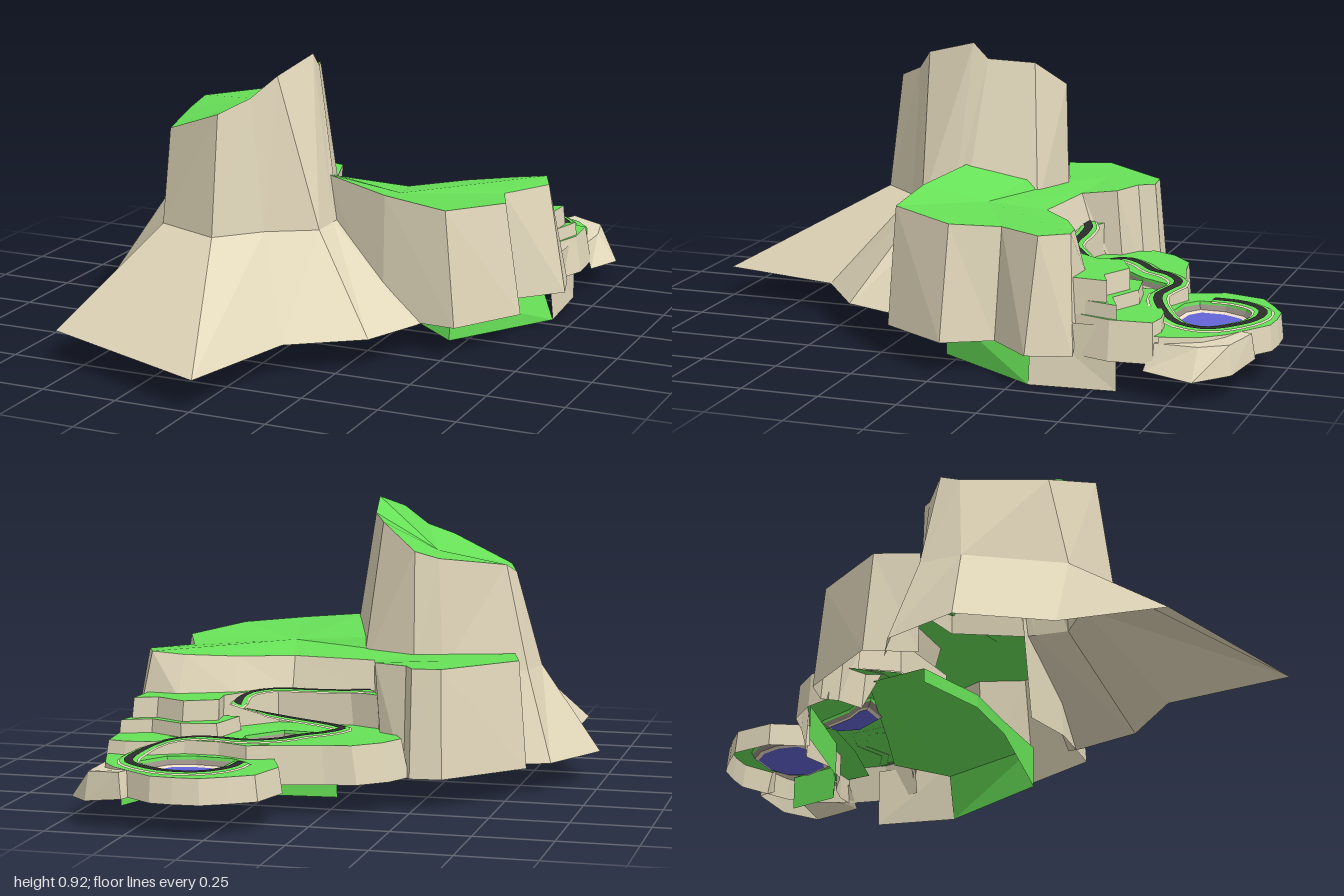
import * as THREE from 'three';

const mat = (color) => new THREE.MeshStandardMaterial({ color, flatShading: true, side: THREE.DoubleSide, roughness: 1 });

export function createModel() {
  const group = new THREE.Group();
  const rock = mat(0xe2d8bb), grass = mat(0x68e258), water = mat(0x6464d8);
  const sand = mat(0xf0e0ca), mud = mat(0x9a9086), asphalt = mat(0x2c2c2c);

  const add = (name, pos, material) => {
    const g = new THREE.BufferGeometry();
    g.setAttribute('position', new THREE.Float32BufferAttribute(pos.flat(), 3));
    g.computeVertexNormals();
    const m = new THREE.Mesh(g, material);
    m.name = name;
    group.add(m);
  };
  // Band of quads between an upper and a lower line of [x, y, z] points
  const band = (name, a, b, material, closed = true) => {
    const pos = [], n = a.length;
    for (let i = 0; i < (closed ? n : n - 1); i++) {
      const j = (i + 1) % n;
      pos.push(a[i], b[i], b[j], a[i], b[j], a[j]);
    }
    add(name, pos, material);
  };
  // Surface joining a ring to a point in its middle
  const fan = (name, ring, centre, material) =>
    add(name, ring.flatMap((p, i) => [centre, p, ring[(i + 1) % ring.length]]), material);
  // Surface filling a ring of points, with optional holes, facing up
  const cap = (name, ring, material, holes = []) => {
    const flat = (r) => r.map((p) => new THREE.Vector2(p[0], p[2]));
    const all = [ring, ...holes].flat(), pos = [];
    for (const [i, j, k] of THREE.ShapeUtils.triangulateShape(flat(ring), holes.map(flat))) {
      const [a, b, c] = [all[i], all[j], all[k]];
      const up = (b[2] - a[2]) * (c[0] - a[0]) - (b[0] - a[0]) * (c[2] - a[2]);
      pos.push(a, ...(up > 0 ? [b, c] : [c, b]));
    }
    add(name, pos, material);
  };
  const level = (pts, y) => pts.map(([x, z]) => [x, y, z]);
  const atHeight = (ring, y) => ring.map(([x, , z]) => [x, y, z]);
  // Ring scaled about its centre in plan and set to height y
  const spread = (ring, s, y) => {
    const cx = ring.reduce((t, p) => t + p[0], 0) / ring.length;
    const cz = ring.reduce((t, p) => t + p[2], 0) / ring.length;
    return ring.map((p) => [cx + (p[0] - cx) * s, y, cz + (p[2] - cz) * s]);
  };

  // Tall butte: slanted grassy top, steep shaft, spreading foot
  const top = [[0, .87, .07], [0, .92, .12], [-.045, .875, .29], [-.11, .81, .35], [-.18, .77, .44], [-.4, .685, .34],
    [-.47, .69, .07], [-.45, .72, 0], [-.25, .745, -.1], [-.18, .77, -.14], [-.06, .855, -.07]];
  const waist = level([[.09, .12], [.09, .16], [.09, .27], [-.06, .36], [-.18, .49], [-.4, .4], [-.55, .1],
    [-.53, -.04], [-.27, -.13], [-.18, -.15], [0, -.1]], .385);
  fan('butteTop', top, [-.2, .75, .1], grass);
  band('butteShaft', top, waist, rock);
  const foot = level([[.42, .18], [.41, .23], [.33, .43], [.11, .59], [.01, 1], [-.6, .75], [-.6, .41],
    [-.74, .13], [-.62, -.11], [-.5, -.16]], .1);
  band('butteFoot', [0, 1, 2, 3, 4, 5, 5, 6, 7, 8].map((i) => waist[i]), foot, rock, false);

  // Main plateau: steep outer cliff, short slanted drop to the shelf behind
  const plateau = [[.05, .53, .12], [.28, .5, .19], [.49, .475, .2], [.61, .46, -.02], [.55, .45, -.17],
    [.65, .455, -.32], [.61, .46, -.41], [.51, .45, -.39], [.36, .44, -.32], [.2, .43, -.2], [-.07, .43, -.23],
    [-.1, .44, -.34], [-.21, .44, -.38], [-.24, .44, -.43], [-.33, .44, -.42], [-.53, .44, -.19], [-.49, .44, -.05],
    [-.27, .44, -.12], [-.18, .44, -.14], [-.03, .48, -.07]];
  const plateauBase = level([[.1, .14], [.28, .2], [.53, .215], [.67, -.01], [.59, -.16], [.72, -.3], [.68, -.44], [.52, -.43],
    [.35, -.355], [.2, -.23], [-.08, -.26], [-.13, -.36], [-.21, -.41], [-.24, -.46], [-.34, -.45], [-.56, -.21], [-.5, -.05]], .1);
  for (let i = 7; i < 11; i++) plateauBase[i][1] = .32;
  fan('plateauTop', [...plateau.slice(0, 11), ...plateau.slice(18)], [.25, .455, -.02], grass);
  fan('plateauSideTop', plateau.slice(10, 19), [-.3, .44, -.25], grass);
  band('plateauCliff', plateau.slice(0, 17), plateauBase, rock, false);

  // Water basin: muddy bank, sandy shore and pond, returning its rim
  const basin = (name, shore, rimY, waterY, rimScale) => {
    const pond = level(shore, waterY);
    const beach = spread(pond, 1.12, waterY + .005);
    const bank = spread(pond, rimScale, rimY - .01);
    const rim = spread(pond, rimScale + .02, rimY);
    cap(name + 'Water', pond, water);
    band(name + 'Shore', beach, pond, sand);
    band(name + 'Bank', bank, beach, mud);
    band(name + 'Rim', rim, bank, grass);
    return rim;
  };
  const upperRim = basin('upperPond', [[.09, -.42], [.1, -.45], [.15, -.5], [.2, -.59], [.24, -.58], [.25, -.5], [.18, -.41]], .22, .19, 1.3);
  const lowerRim = basin('lowerPond', [[.24, -.79], [.27, -.85], [.32, -.89], [.42, -.88], [.48, -.84], [.5, -.78],
    [.45, -.7], [.38, -.68], [.28, -.69], [.24, -.72]], .18, .15, 1.2);

  // Stepped terraces
  const shelf = level([[-.16, -.36], [-.1, -.24], [.2, -.18], [.37, -.3], [.62, -.38], [.63, -.53], [.56, -.5], [.46, -.55],
    [.36, -.5], [.37, -.42], [.33, -.36], [.24, -.26], [0, -.26], [-.1, -.3]], .33);
  cap('upperShelf', shelf, grass);
  band('upperShelfCliff', shelf, spread(shelf, 1.03, .22), rock);
  const bench = level([[.32, -.42], [.62, -.42], [.66, -.57], [.57, -.53], [.46, -.58], [.35, -.56]], .265);
  cap('sideBench', bench, grass);
  band('sideBenchCliff', bench, spread(bench, 1.03, .22), rock);

  const mid = level([[-.21, -.44], [-.17, -.52], [-.09, -.59], [0, -.605], [.13, -.64], [.22, -.67], [.32, -.63], [.43, -.63],
    [.53, -.68], [.6, -.69], [.66, -.68], [.67, -.55], [.63, -.43], [.36, -.28], [.2, -.2], [-.1, -.24]], .222);
  cap('middleTerrace', mid, grass, [upperRim]);
  band('middleCliff', mid.slice(0, 13), spread(mid, 1.05, .1).slice(0, 13), rock, false);

  const low = level([[.14, -.64], [.09, -.76], [.125, -.89], [.2, -.94], [.27, -.98], [.35, -.985], [.42, -.98], [.51, -.92],
    [.57, -.88], [.62, -.82], [.66, -.7], [.64, -.6], [.4, -.57], [.2, -.57]], .18);
  cap('lowerTerrace', low, grass, [lowerRim]);
  const lowBase = spread(low, 1.04, .1).map(([x, y, z]) => [x, y, Math.max(z, -1)]);
  band('lowerCliff', low.slice(0, 11), lowBase.slice(0, 11), rock, false);

  // Rock outcrop on the far corner
  const crag = [[.51, .18, -.9], [.53, .18, -.95], [.64, .17, -.91], [.66, .16, -.82], [.66, .16, -.68]];
  const cragBase = [[.5, .1, -.9], [.52, .1, -.96], [.65, .08, -.92], [.73, .07, -.82], [.69, .08, -.66]];
  cap('outcropTop', crag, rock);
  band('outcropSide', crag, cragBase, rock, false);

  // Winding road: a flat ribbon over a grass verge and a rocky shoulder
  const road = new THREE.CatmullRomCurve3([[.21, .19, -.75], [.22, .19, -.84], [.28, .19, -.92], [.38, .19, -.935], [.48, .19, -.89],
    [.55, .19, -.81], [.545, .2, -.72], [.48, .225, -.655], [.38, .235, -.62], [.22, .235, -.64], [.13, .235, -.585],
    [.09, .235, -.52], [.02, .237, -.46], [-.01, .24, -.4], [.04, .243, -.365], [.17, .255, -.35], [.27, .27, -.35],
    [.33, .3, -.4], [.32, .325, -.36], [.25, .337, -.305], [.1, .338, -.29], [0, .338, -.275], [-.07, .34, -.245]]
    .map((p) => new THREE.Vector3(...p)), false, 'centripetal');
  const ribbon = (name, width, drop, material) => {
    const l = [], r = [];
    for (let i = 0; i <= 60; i++) {
      const p = road.getPoint(i / 60), t = road.getTangent(i / 60).setY(0).normalize();
      l.push([p.x + t.z * width, p.y - drop, p.z - t.x * width]);
      r.push([p.x - t.z * width, p.y - drop, p.z + t.x * width]);
    }
    band(name, l, r, material, false);
  };
  ribbon('road', .014, 0, asphalt);
  ribbon('roadVerge', .028, .003, grass);
  ribbon('roadShoulder', .035, .006, rock);

  // Hollow below the plateau: grassy roof with a skirt hanging from its edge
  const skirt = [[-.29, .095, -.1], [-.04, .095, 0], [.2, .095, .02], [.45, 0, .05], [.68, 0, -.3]];
  const skirtTop = atHeight(skirt, .14);
  skirtTop[4][0] = .63;
  cap('hollowRoof', [...skirtTop, [.62, .2, -.5], [.4, .2, -.45], [-.1, .2, -.35]], grass);
  band('hollowSkirt', skirtTop, skirt, grass, false);
  band('hollowCliff', [[.66, .2, -.3], [.66, .2, -.57]], [[.68, 0, -.3], [.66, 0, -.57]], rock, false);
  const lowerSkirt = level([[-.04, -.57], [.3, -.6], [.5, -.68], [.56, -.85]], .055);
  band('lowerHollowSkirt', atHeight(lowerSkirt, .17), lowerSkirt, grass, false);
  return group;
}
